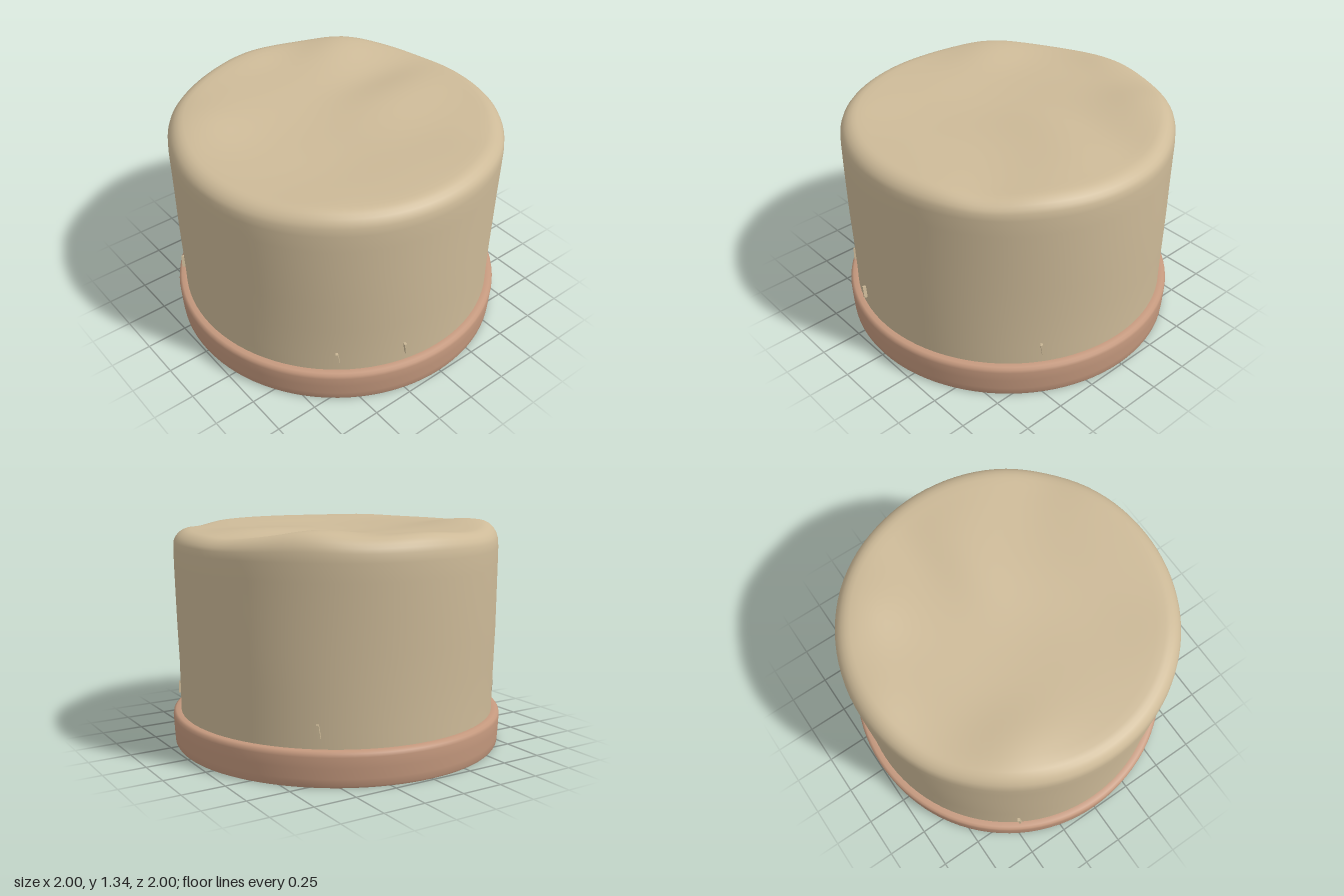
import * as THREE from 'three';
import { toCreasedNormals } from 'three/addons/utils/BufferGeometryUtils.js';

const SEGMENTS = 96;
const cloth = new THREE.MeshStandardMaterial({ color: 0xcdba98, side: THREE.DoubleSide });
cloth.name = 'tan cloth';
const trim = new THREE.MeshStandardMaterial({ color: 0xc5997e, side: THREE.DoubleSide });
trim.name = 'rose brown trim';

// Soft folds on the crown: [x, z, height, width along x, width along z]
const folds = [
  [-0.66, -0.40, 0.040, 0.22, 0.28],
  [0.50, -0.63, 0.040, 0.26, 0.18],
  [0.00, -0.85, 0.022, 0.25, 0.14],
  [-0.12, -0.02, -0.028, 0.40, 0.34],
  [0.55, -0.24, -0.024, 0.40, 0.16],
  [0.42, 0.04, 0.008, 0.35, 0.16],
  [-0.25, 0.40, -0.014, 0.40, 0.25],
  [0.40, 0.42, -0.020, 0.35, 0.25],
  [0.92, 0.05, -0.018, 0.22, 0.35],
  [0.62, 0.72, -0.018, 0.20, 0.20],
  [-0.62, 0.65, 0.008, 0.22, 0.22],
];
const foldHeight = (x, z) => folds.reduce((sum, [fx, fz, h, wx, wz]) =>
  sum + h * Math.exp(-(((x - fx) / wx) ** 2) - ((z - fz) / wz) ** 2), 0);

// Drape rule: rumple the crown and let the wall bulge slightly
function drape(v) {
  const angle = Math.atan2(v.x, v.z);
  const wobble = 1 + 0.003 * Math.sin(3 * angle + 4 * v.y) * THREE.MathUtils.smoothstep(v.y, 0.2, 0.6);
  v.y += foldHeight(v.x, v.z) * THREE.MathUtils.smoothstep(v.y, 1.15, 1.29);
  v.x *= wobble;
  v.z *= wobble;
}

// Lathe a profile, optionally move its vertices by a rule, and smooth the result
function turned(name, profile, material, rule) {
  const geometry = new THREE.LatheGeometry(profile.map(([r, y]) => new THREE.Vector2(r, y)), SEGMENTS);
  if (rule) {
    const p = geometry.attributes.position;
    const v = new THREE.Vector3();
    for (let i = 0; i < p.count; i++) {
      rule(v.fromBufferAttribute(p, i));
      p.setXYZ(i, v.x, v.y, v.z);
    }
  }
  const mesh = new THREE.Mesh(toCreasedNormals(geometry, 1.0), material);
  mesh.name = name;
  return mesh;
}

export function createModel() {
  const hat = new THREE.Group();
  hat.name = 'hat';

  // Cloth body: slightly flaring wall, rounded shoulder, rumpled sunken crown
  const body = [[0.952, 0.19], [0.952, 0.3], [0.955, 0.5], [0.96, 0.7], [0.963, 0.9], [0.966, 1.08], [0.967, 1.18]];
  for (let i = 1; i <= 6; i++) {
    const a = (i / 6) * Math.PI / 2;
    body.push([0.867 + 0.1 * Math.cos(a), 1.2 + 0.096 * Math.sin(a)]);
  }
  for (let i = 1; i <= 18; i++) body.push([0.867 * (1 - i / 18), 1.296]);
  hat.add(turned('clothBody', body, cloth, drape));

  // Open trim band around the bottom, with its top turned in to the wall
  const band = [[0.985, 0], [0.991, 0.012], [0.994, 0.05], [0.997, 0.11], [1, 0.17], [0.996, 0.19], [0.982, 0.2], [0.952, 0.2]];
  hat.add(turned('trimBand', band, trim));

  // Small loose stitches above the band, by angle around the hat
  const stitch = new THREE.BoxGeometry(0.014, 0.075, 0.02);
  [-0.66, -0.25, 1.04, 2.49, -2.1].forEach((angle) => {
    const mesh = new THREE.Mesh(stitch, cloth);
    mesh.name = 'stitch';
    mesh.position.set(0.963 * Math.sin(angle), 0.3, 0.963 * Math.cos(angle));
    mesh.rotation.set(0, angle, 0.15);
    hat.add(mesh);
  });

  return hat;
}
